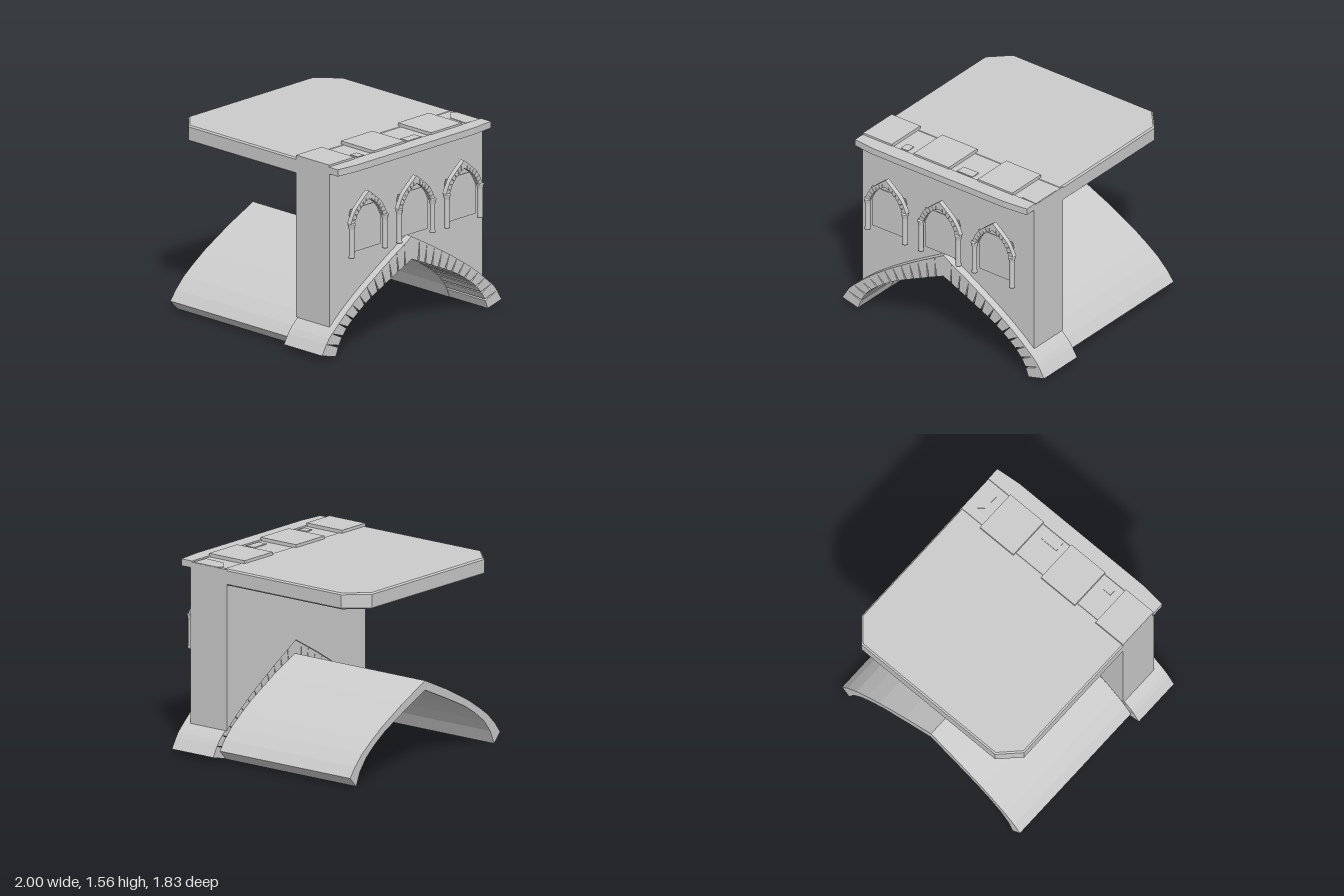
import * as THREE from 'three';

const material = new THREE.MeshStandardMaterial({ color: 0xcccccc, flatShading: true, side: THREE.DoubleSide });
const smooth = new THREE.MeshStandardMaterial({ color: 0xcccccc });

const toShape = pts => new THREE.Shape(pts.map(p => new THREE.Vector2(p[0], p[1])));
const mirrorX = pts => pts.map(([x, y]) => [-x, y]);
// right-hand half profile (apex first) turned into a full left-to-right profile
const fullProfile = pts => [...mirrorX(pts).reverse(), ...pts.slice(1)];

function addMesh(parent, name, geometry, mat = material) {
  const mesh = new THREE.Mesh(geometry, mat);
  mesh.name = name;
  parent.add(mesh);
  return mesh;
}

// outline in x,y pushed from z0 to z1
function extrudeZ(pts, z0, z1) {
  const g = new THREE.ExtrudeGeometry(toShape(pts), { depth: z1 - z0, bevelEnabled: false });
  return g.translate(0, 0, z0);
}

// outline in x,z pushed from y0 to y1, with an optional chamfer
function extrudeY(pts, y0, y1, bevel = 0) {
  const g = new THREE.ExtrudeGeometry(toShape(pts), {
    depth: y1 - y0 - 2 * bevel, bevelEnabled: bevel > 0, bevelSegments: 1,
    bevelSize: bevel, bevelThickness: bevel, bevelOffset: -bevel,
  });
  return g.rotateX(Math.PI / 2).translate(0, y1 - bevel, 0);
}

const rect = (x0, x1, z0, z1) => [[x0, z0], [x1, z0], [x1, z1], [x0, z1]];
const curve = pts => new THREE.CatmullRomCurve3(pts.map(p => new THREE.Vector3(p[0], p[1], 0)));

// mirrored ring of wedge stones between two half profiles, with open joints on the inside
function stoneArch(name, outer, inner, count, z0, z1, gap) {
  const group = new THREE.Group();
  group.name = name;
  const o = curve(outer), i = curve(inner);
  const at = (c, t) => { const p = c.getPointAt(t); return [p.x, p.y]; };
  for (let k = 0; k < count; k++) {
    const a = k / count, b = (k + 1) / count;
    const ga = k === 0 ? 0 : gap / count, gb = k === count - 1 ? 0 : gap / count;
    const stone = [at(o, a), at(o, (a + b) / 2), at(o, b), at(i, b - gb), at(i, (a + b) / 2), at(i, a + ga)];
    addMesh(group, 'archStone', extrudeZ(stone, z0, z1));
    addMesh(group, 'archStone', extrudeZ(mirrorX(stone), z0, z1));
  }
  return group;
}

function createWindow(x) {
  const group = new THREE.Group();
  group.name = 'window';
  const side = [[0.165, 0.82], [0.165, 1.07], [0.18, 1.13], [0.165, 1.175]];
  addMesh(group, 'windowPane', extrudeZ([...side, ...mirrorX(side).reverse()], 0.846, 0.856));
  group.add(stoneArch('windowArch',
    [[0, 1.3], [0.075, 1.24], [0.15, 1.17], [0.205, 1.065]],
    [[0, 1.235], [0.06, 1.2], [0.12, 1.14], [0.163, 1.06]], 7, 0.853, 0.893, 0.1));
  // column with a flared capital and a small base ring
  const profile = [[0, 0.79], [0.024, 0.79], [0.024, 0.805], [0.021, 0.81], [0.021, 1.02],
    [0.024, 1.035], [0.03, 1.06], [0.03, 1.068], [0, 1.07]].map(p => new THREE.Vector2(p[0], p[1]));
  for (const s of [-1, 1])
    addMesh(group, 'windowColumn', new THREE.LatheGeometry(profile, 16), smooth).position.set(s * 0.185, 0, 0.884);
  group.position.x = x;
  return group;
}

export function createModel() {
  const model = new THREE.Group();
  model.name = 'archedGatehouse';

  const archOuter = [[0, 0.79], [0.28, 0.63], [0.545, 0.465], [0.72, 0.34], [0.85, 0.23], [0.925, 0.16], [1, 0.043]];
  const archInner = [[0, 0.604], [0.25, 0.49], [0.49, 0.374], [0.62, 0.29], [0.72, 0.21], [0.8, 0.11], [0.845, 0.003]];
  const vaultOuter = [[0, 0.68], [0.27, 0.555], [0.53, 0.415], [0.66, 0.33], [0.77, 0.25], [0.86, 0.16], [0.92, 0.08]];
  const vaultInner = [...archInner.slice(0, -1), [0.845, 0]];

  // front wall, cut below to sit on the arch
  const wall = [...fullProfile(archOuter.slice(0, 5)), [0.85, 1.528], [-0.85, 1.528]];
  addMesh(model, 'frontWall', extrudeZ(wall, 0.41, 0.776));

  // pointed stone arch and the vault behind it
  model.add(stoneArch('gateArch', archOuter, archInner, 13, 0.425, 0.84, 0.1));
  addMesh(model, 'vault', extrudeZ([...fullProfile(vaultOuter), ...fullProfile(vaultInner).reverse()], -0.89, 0.422));

  // roof slab with clipped back corners
  addMesh(model, 'roofSlab', extrudeY([[-0.85, 0.45], [-0.85, -0.76], [-0.69, -0.92],
    [0.69, -0.92], [0.85, -0.74], [0.85, 0.45]], 1.4, 1.532, 0.012));

  // cornice along the front edge
  addMesh(model, 'cornice', extrudeY([[-0.853, 0.76], [0.85, 0.76], [0.85, 0.868],
    [0.64, 0.889], [-0.66, 0.889], [-0.853, 0.868]], 1.485, 1.54));

  // raised slabs on top of the wall, with small worn chips between them
  for (const [x0, x1] of [[-0.85, -0.565], [-0.35, 0], [0.285, 0.63]])
    addMesh(model, 'roofTile', extrudeY(rect(x0, x1, 0.41, 0.77), 1.52, 1.556));
  for (const [x0, x1] of [[-0.5, -0.43], [0.06, 0.21]])
    addMesh(model, 'roofChip', extrudeY(rect(x0, x1, 0.66, 0.74), 1.52, 1.535));
  addMesh(model, 'cornerChip', extrudeY([[0.7, 0.74], [0.71, 0.56], [0.81, 0.47], [0.848, 0.5], [0.848, 0.75]], 1.52, 1.533));

  for (const x of [-0.53, 0, 0.53]) model.add(createWindow(x));
  return model;
}
